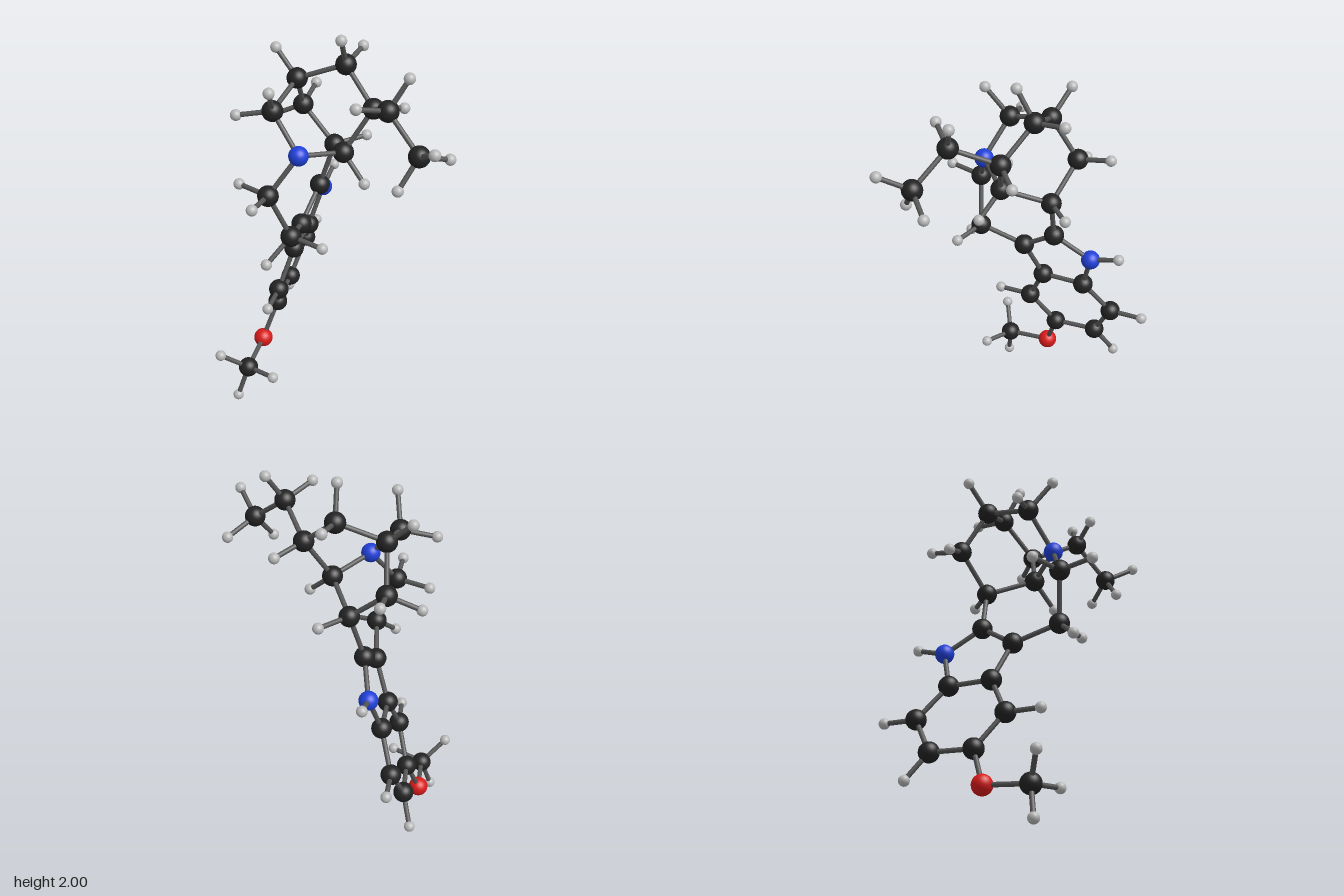
import * as THREE from 'three';

// Atom kinds: radius, colour and centre positions
const KINDS = {
  carbon: { radius: 0.05, color: 0x222222, at: [
    // upper cage and side chain
    [-0.04, 1.82, -0.08], [-0.27, 1.73, -0.04], [0.265, 1.76, 0.19], [0.127, 1.66, 0],
    [-0.29, 1.665, 0.2], [0.44, 1.61, 0.27], [-0.3, 1.53, -0.172], [0.007, 1.447, 0.073],
    [-0.12, 1.365, -0.13], [-0.257, 1.305, 0.35], [-0.17, 1.075, 0.3],
    // flat double ring
    [-0.192, 1.135, -0.11], [-0.215, 1.005, 0.073], [-0.292, 0.8, 0.003], [-0.305, 0.81, -0.223],
    [-0.38, 0.637, -0.35], [-0.337, 0.6, 0.105], [-0.405, 0.425, -0.018], [-0.428, 0.44, -0.24],
    // foot
    [-0.44, 0.2, 0.29],
  ] },
  nitrogen: { radius: 0.047, color: 0x2040d8, at: [[-0.14, 1.49, 0.257], [-0.25, 1.015, -0.287]] },
  oxygen: { radius: 0.049, color: 0xd81a1a, at: [[-0.46, 0.225, 0.062]] },
  hydrogen: { radius: 0.027, color: 0xb8b8b8, at: [
    [-0.028, 1.973, 0.008], [-0.018, 1.85, -0.248], [-0.393, 1.85, -0.08],
    [0.34, 1.903, 0.13], [0.163, 1.81, 0.32], [0.235, 1.625, -0.125],
    [-0.25, 1.81, 0.315], [-0.46, 1.63, 0.235],
    [0.544, 1.695, 0.385], [0.543, 1.55, 0.14], [0.375, 1.47, 0.358],
    [-0.46, 1.455, -0.14], [-0.303, 1.57, -0.345],
    [0.13, 1.327, 0.12], [-0.005, 1.37, -0.268],
    [-0.43, 1.305, 0.297], [-0.257, 1.325, 0.522],
    [0.003, 1.065, 0.332], [-0.25, 0.963, 0.412], [-0.25, 1.067, -0.44],
    [-0.39, 0.647, -0.523], [-0.32, 0.595, 0.277], [-0.48, 0.305, -0.333],
    [-0.551, 0.305, 0.376], [-0.275, 0.22, 0.345], [-0.488, 0.03, 0.328],
  ] },
};
const BOND_RADIUS = 0.012;
const MAX_BOND = 0.28;
const UP = new THREE.Vector3(0, 1, 0);

export function createModel() {
  const model = new THREE.Group();
  model.name = 'molecule';
  const atoms = [];

  // Atoms
  for (const [kind, { radius, color, at }] of Object.entries(KINDS)) {
    const group = new THREE.Group();
    group.name = `${kind}Atoms`;
    const geometry = new THREE.SphereGeometry(radius, 32, 20);
    const material = new THREE.MeshStandardMaterial({ color });
    for (const p of at) {
      const atom = new THREE.Mesh(geometry, material);
      atom.name = `${kind}Atom`;
      atom.position.set(...p);
      group.add(atom);
      atoms.push({ kind, position: atom.position });
    }
    model.add(group);
  }

  // Bonds: a rod between every pair of near neighbours
  const bonds = new THREE.Group();
  bonds.name = 'bonds';
  const rod = new THREE.CylinderGeometry(BOND_RADIUS, BOND_RADIUS, 1, 16);
  const rodMaterial = new THREE.MeshStandardMaterial({ color: 0x555555 });
  atoms.forEach((a, i) => {
    for (const b of atoms.slice(i + 1)) {
      const length = a.position.distanceTo(b.position);
      if (length > MAX_BOND || (a.kind === 'hydrogen' && b.kind === 'hydrogen')) continue;
      const bond = new THREE.Mesh(rod, rodMaterial);
      bond.name = 'bond';
      bond.position.lerpVectors(a.position, b.position, 0.5);
      bond.quaternion.setFromUnitVectors(UP, b.position.clone().sub(a.position).normalize());
      bond.scale.y = length;
      bonds.add(bond);
    }
  });
  model.add(bonds);
  return model;
}
